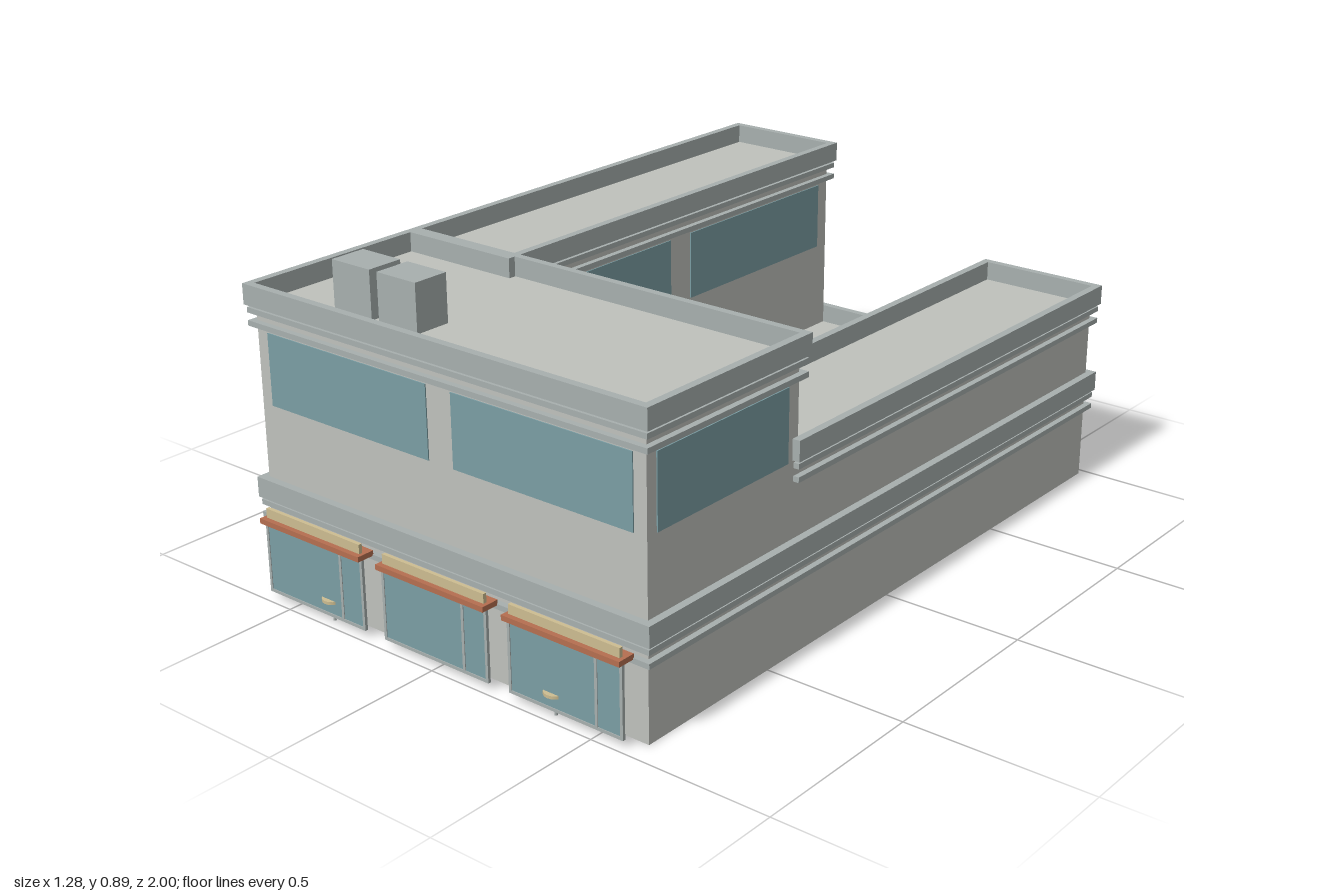
import * as THREE from 'three';

const mat = (color) => new THREE.MeshStandardMaterial({ color });
const wallMat = mat(0xbfc1bc), trimMat = mat(0xa7afae), glassMat = mat(0x7b9ea4);
const signMat = mat(0xcdbd91), awningMat = mat(0xb56f50);

// Box given by its minimum and maximum on each axis
function box(parent, name, material, x0, x1, y0, y1, z0, z1) {
  const mesh = new THREE.Mesh(new THREE.BoxGeometry(x1 - x0, y1 - y0, z1 - z0), material);
  mesh.position.set((x0 + x1) / 2, (y0 + y1) / 2, (z0 + z1) / 2);
  mesh.name = name;
  parent.add(mesh);
  return mesh;
}

// Rectangular outline for shapes and holes
function rect(target, x0, x1, y0, y1) {
  target.moveTo(x0, y0);
  target.lineTo(x1, y0);
  target.lineTo(x1, y1);
  target.lineTo(x0, y1);
  target.closePath();
  return target;
}

// Block of walls with two string courses and a parapet ring around its flat roof
function block(parent, name, x0, x1, z0, z1, y0, top) {
  const g = new THREE.Group();
  g.name = name;
  box(g, 'walls', wallMat, x0, x1, y0, top - 0.052, z0, z1);
  for (const drop of [0.061, 0.095]) {
    const o = 0.016;
    box(g, 'stringCourse', trimMat, x0 - o, x1 + o, top - drop - 0.014, top - drop, z0 - o, z1 + o);
  }
  const o = 0.021;
  const ring = rect(new THREE.Shape(), x0 - o, x1 + o, -z1 - o, -z0 + o);
  ring.holes.push(rect(new THREE.Path(), x0, x1, -z1, -z0));
  const geo = new THREE.ExtrudeGeometry(ring, { depth: 0.054, bevelEnabled: false });
  geo.rotateX(-Math.PI / 2);
  const parapet = new THREE.Mesh(geo, trimMat);
  parapet.position.y = top - 0.054;
  parapet.name = 'parapet';
  g.add(parapet);
  parent.add(g);
}

// Shopfront with framed glazing, sign panel and awning, starting at x
function shopfront(parent, x) {
  const g = new THREE.Group();
  g.name = 'shopfront';
  const w = 0.345;
  const frame = rect(new THREE.Shape(), 0, w, 0.02, 0.215);
  frame.holes.push(rect(new THREE.Path(), 0.008, 0.263, 0.028, 0.21));
  frame.holes.push(rect(new THREE.Path(), 0.271, w - 0.008, 0.028, 0.21));
  const mesh = new THREE.Mesh(
    new THREE.ExtrudeGeometry(frame, { depth: 0.008, bevelEnabled: false }), trimMat);
  mesh.position.z = 0.978;
  mesh.name = 'shopFrame';
  g.add(mesh);
  box(g, 'shopGlass', glassMat, 0.004, w - 0.004, 0.024, 0.212, 0.98, 0.984);
  box(g, 'awning', awningMat, -0.004, w + 0.004, 0.211, 0.225, 0.95, 1.0);
  box(g, 'signPanel', signMat, 0.006, w - 0.006, 0.225, 0.25, 0.976, 0.986);
  g.position.x = x;
  parent.add(g);
}

// Small round table on a post
function table(parent, x) {
  const g = new THREE.Group();
  g.name = 'table';
  const top = new THREE.Mesh(new THREE.CylinderGeometry(0.029, 0.029, 0.008, 16), signMat);
  top.position.y = 0.06;
  top.name = 'tableTop';
  const post = new THREE.Mesh(new THREE.CylinderGeometry(0.004, 0.004, 0.056, 8), trimMat);
  post.position.y = 0.028;
  post.name = 'tablePost';
  g.add(top, post);
  g.position.set(x, 0, 0.968);
  parent.add(g);
}

export function createModel() {
  const model = new THREE.Group();
  model.name = 'building';
  const X = 0.617, F = 0.937, B = -0.977, M = 0.395;

  // Ground floor, tall front block and the two rear wings around a courtyard
  block(model, 'groundFloor', -X, X, B, F, 0, 0.31);
  block(model, 'frontBlock', -X, X, M, F, 0.25, 0.82);
  block(model, 'tallWing', -X, -0.288, B, M, 0.25, 0.82);
  block(model, 'lowWing', 0.283, X, B, M, 0.25, 0.566);

  // Upper windows, set slightly proud of the walls
  const y0 = 0.51, y1 = 0.7, t = 0.003;
  const paneZ = (x0, x1, z) => box(model, 'window', glassMat, x0, x1, y0, y1, z - t, z + t);
  const paneX = (x, z0, z1) => box(model, 'window', glassMat, x - t, x + t, y0, y1, z0, z1);
  for (const z of [F, M]) {
    paneZ(-0.58, -0.04, z);
    paneZ(0.04, 0.58, z);
  }
  paneZ(-0.592, -0.313, B);
  for (const x of [-X, X]) paneX(x, 0.435, 0.905);
  for (const x of [-X, -0.288]) {
    paneX(x, -0.243, 0.36);
    paneX(x, -0.933, -0.33);
  }

  // Rooftop units
  for (const x of [-0.37, -0.217]) {
    box(model, 'rooftopUnit', trimMat, x - 0.064, x + 0.064, 0.76, 0.895, 0.747, 0.848);
  }

  // Street level
  for (const x of [-0.585, -0.1725, 0.238]) shopfront(model, x);
  for (const x of [-0.37, 0.367]) table(model, x);

  return model;
}
